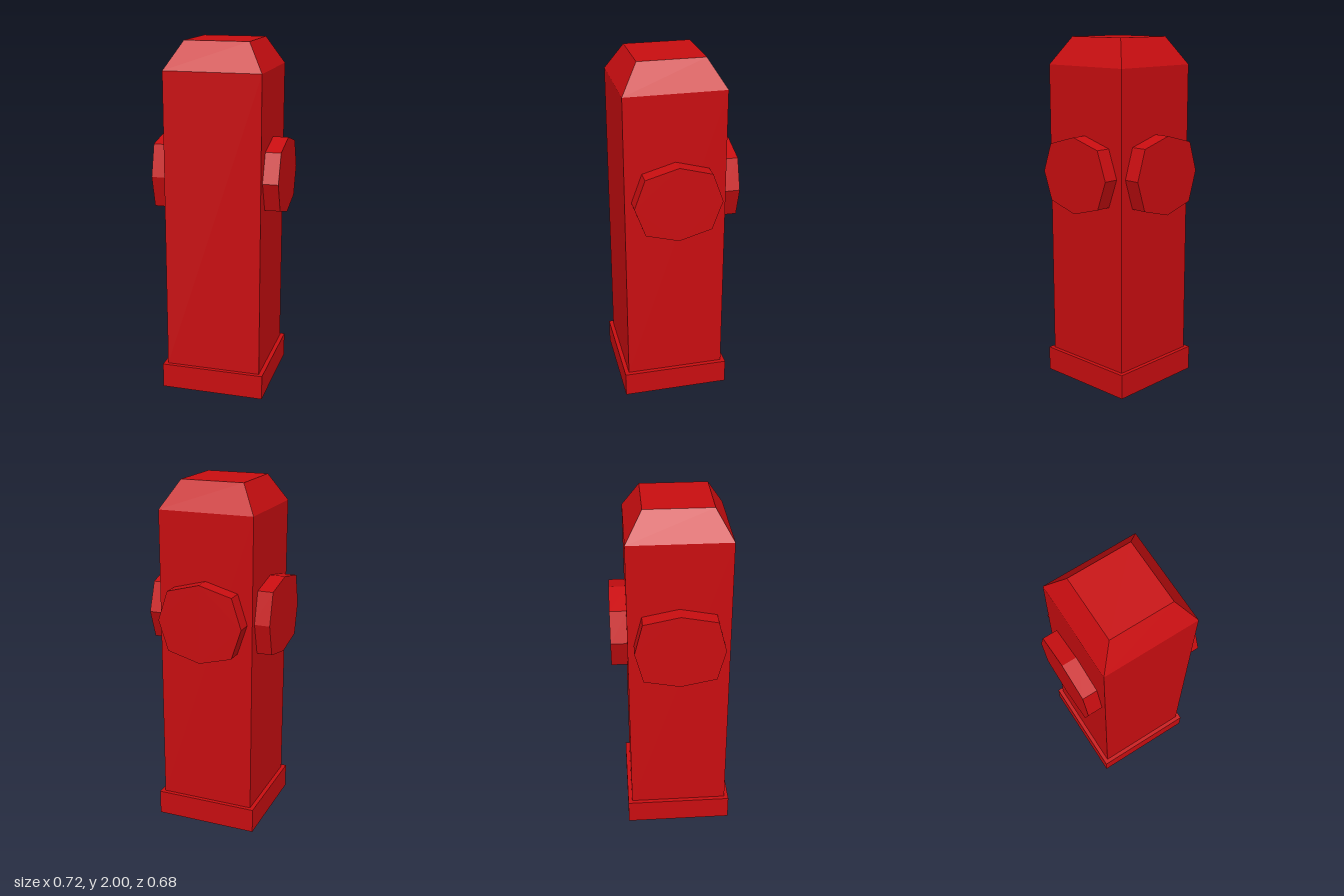
import * as THREE from 'three';

const red = new THREE.MeshStandardMaterial({ color: 0xc80d10, flatShading: true });
const MID_Z = 0.033; // the column sits slightly forward of centre

function part(name, geometry, x, y, z) {
  const mesh = new THREE.Mesh(geometry, red);
  mesh.name = name;
  mesh.position.set(x, y, z);
  return mesh;
}

// Square frustum with separate half-widths at top and bottom
function frustum(bx, bz, tx, tz, h) {
  const g = new THREE.BoxGeometry(2, h, 2);
  const p = g.attributes.position;
  for (let i = 0; i < p.count; i++) {
    const top = p.getY(i) > 0;
    p.setX(i, p.getX(i) * (top ? tx : bx));
    p.setZ(i, p.getZ(i) * (top ? tz : bz));
  }
  g.computeVertexNormals();
  return g;
}

// Eight-sided outlet cap; k places the diagonal corners
function outlet(rx, ry, k, depth) {
  const pts = [[rx, 0], [rx * k, ry * k], [0, ry], [-rx * k, ry * k],
    [-rx, 0], [-rx * k, -ry * k], [0, -ry], [rx * k, -ry * k]];
  const shape = new THREE.Shape(pts.map(([x, y]) => new THREE.Vector2(x, y)));
  return new THREE.ExtrudeGeometry(shape, { depth, bevelEnabled: false });
}

export function createModel() {
  const group = new THREE.Group();
  group.name = 'hydrant';

  // Base, column and sloped top
  group.add(part('base', new THREE.BoxGeometry(0.594, 0.142, 0.611), 0, 0.071, MID_Z));
  group.add(part('column', new THREE.BoxGeometry(0.546, 1.704, 0.564), 0, 0.993, MID_Z));
  group.add(part('slopedTop', frustum(0.273, 0.282, 0.181, 0.187, 0.155), 0, 1.9225, MID_Z));

  // Outlet caps on the two sides and the back
  const left = part('leftOutlet', outlet(0.245, 0.215, 0.757, 0.1), 0.26, 1.252, MID_Z);
  left.rotation.y = Math.PI / 2;
  const right = part('rightOutlet', outlet(0.248, 0.219, 0.815, 0.1), -0.26, 1.251, MID_Z);
  right.rotation.y = -Math.PI / 2;
  const back = part('backOutlet', outlet(0.244, 0.222, 0.77, 0.1), 0, 1.252, -0.24);
  back.rotation.y = Math.PI;
  group.add(left, right, back);

  return group;
}
